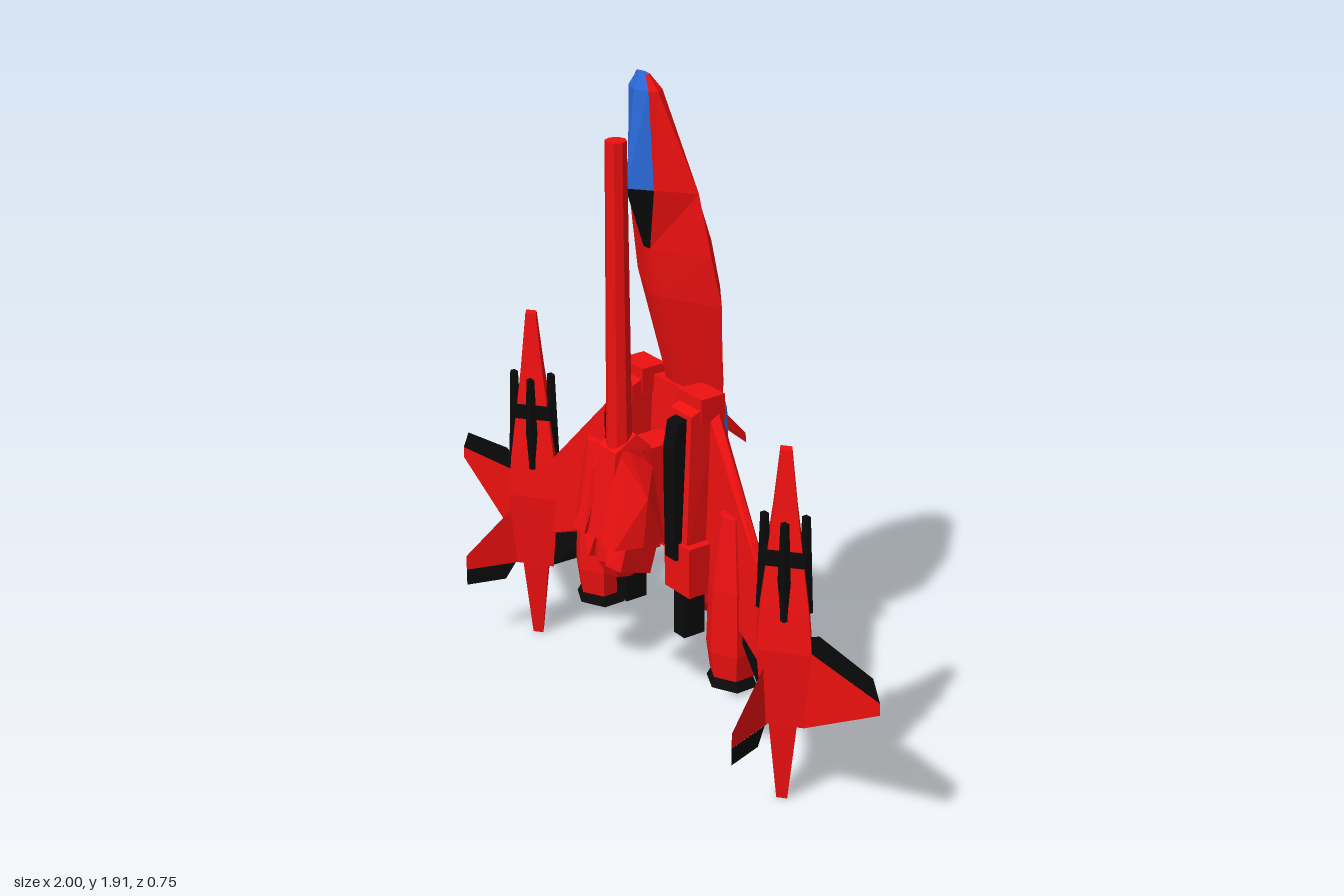
import * as THREE from 'three';
import { ConvexGeometry } from 'three/addons/geometries/ConvexGeometry.js';

const mat = (color) => new THREE.MeshStandardMaterial({ color, flatShading: true, side: THREE.DoubleSide });
const V = (x, y, z) => new THREE.Vector3(x, y, z);

export function createModel() {
  const red = mat(0xee1010), black = mat(0x0a0a0a), blue = mat(0x2a6ad8);
  const model = new THREE.Group();

  const add = (parent, name, geo, m, x = 0, y = 0, z = 0) => {
    const mesh = new THREE.Mesh(geo, m);
    mesh.name = name;
    mesh.position.set(x, y, z);
    parent.add(mesh);
    return mesh;
  };
  // Solid wrapped around a few corners
  const hull = (parent, name, m, pts) => add(parent, name, new ConvexGeometry(pts.map((p) => V(...p))), m);
  // Surface between matching rows of points
  const strip = (parent, name, m, rows) => {
    const pos = [];
    for (let i = 0; i + 1 < rows.length; i++)
      for (let j = 0; j + 1 < rows[i].length; j++) {
        const a = rows[i][j], b = rows[i][j + 1], c = rows[i + 1][j], d = rows[i + 1][j + 1];
        pos.push(...a, ...c, ...b, ...b, ...c, ...d);
      }
    const g = new THREE.BufferGeometry();
    g.setAttribute('position', new THREE.Float32BufferAttribute(pos, 3));
    g.computeVertexNormals();
    return add(parent, name, g, m);
  };
  // Faceted turned part from [radius, y] pairs, bottom to top
  const turned = (parent, name, m, profile, sides, x, z, flat = 1) => {
    const pts = profile.map((p) => new THREE.Vector2(...p));
    const mesh = add(parent, name, new THREE.LatheGeometry(pts, sides), m, x, 0, z);
    mesh.scale.z = flat;
    return mesh;
  };
  // Box spanning two corners
  const box = (parent, name, m, a, b) =>
    add(parent, name, new THREE.BoxGeometry(...a.map((v, i) => Math.abs(b[i] - v))), m, ...a.map((v, i) => (v + b[i]) / 2));

  // Fuselage stations: y, front ridge z, front half width and z, side half width and z, back half width and z, back ridge z
  const stations = [
    [1.91, .19, .02, .187, .03, .18, .02, .173, .17],
    [1.87, .21, .045, .195, .06, .175, .045, .15, .14],
    [1.6, .24, .06, .19, .152, .11, .06, .06, .025],
    [1.42, .175, .015, .172, .182, .09, .06, .0, -.03],
    [1.28, .155, .03, .15, .195, .065, .06, -.03, -.06],
    [1.0, .08, .05, .075, .14, .02, .05, -.05, -.06],
    [.8, .03, .05, .03, .09, -.01, .05, -.05, -.065],
    [.5, .04, .04, .035, .07, -.02, .04, -.06, -.085],
    [.31, .045, .035, .04, .06, -.04, .035, -.09, -.1],
    [.22, -.08, .02, -.085, .03, -.1, .02, -.115, -.118],
  ];
  const fuselage = new THREE.Group();
  fuselage.name = 'fuselage';
  model.add(fuselage);
  const front = stations.map(([y, zf, a, za]) => [[-a, y, za], [0, y, zf], [a, y, za]]);
  const back = stations.map(([y, , , , , , b, zb, zc]) => [[b, y, zb], [0, y, zc], [-b, y, zb]]);
  strip(fuselage, 'lowerCanopy', blue, front.slice(0, 3));
  strip(fuselage, 'lowerCanopyFairing', black, front.slice(2, 4));
  strip(fuselage, 'belly', red, front.slice(3));
  strip(fuselage, 'upperCanopy', blue, back.slice(0, 4));
  strip(fuselage, 'spinePanel', black, back.slice(3, 6));
  strip(fuselage, 'spine', red, back.slice(5));
  for (const s of [1, -1])
    strip(fuselage, 'fuselageSide', red, stations.map(([y, , a, za, w, zm, b, zb]) => {
      const row = [[a, y, za], [w, y, zm], [b, y, zb]].map((p) => [s * p[0], p[1], p[2]]);
      return s > 0 ? row : row.reverse();
    }));
  for (const [i, name] of [[0, 'noseCap'], [9, 'tailCap']]) {
    const [y, zf, a, za, w, zm, b, zb, zc] = stations[i];
    hull(fuselage, name, i ? red : blue, [[0, y, zf], [a, y, za], [-a, y, za], [w, y, zm], [-w, y, zm],
      [b, y, zb], [-b, y, zb], [0, y, zc], [0, y - .002, zm]]);
  }

  // Rear window and small dorsal blade
  hull(model, 'rearWindow', blue, [[0, 1.0, -.06], [.035, .9, -.075], [-.035, .9, -.075], [.035, .8, -.08], [-.035, .8, -.08],
    [0, .77, -.07], [.04, .86, -.04], [-.04, .86, -.04], [0, .85, -.092]]);
  hull(model, 'dorsalBlade', red, [[.006, .88, -.08], [-.006, .88, -.08], [.006, .83, -.08], [-.006, .83, -.08],
    [.004, .785, -.165], [-.004, .785, -.165], [.004, .755, -.168], [-.004, .755, -.168]]);

  // Swept tail fin with dark edges
  const plate = (name, m, t, outline) =>
    hull(model, name, m, outline.flatMap(([y, z]) => [[t, y, z], [-t, y, z]]));
  plate('tailFinRoot', red, .012, [[.62, -.07], [.38, -.18], [.3, -.13], [.3, -.05]]);
  plate('tailFinTip', red, .008, [[.38, -.18], [.26, -.365], [.21, -.36], [.32, -.13]]);
  plate('tailFinLeadingEdge', black, .009, [[.66, -.08], [.6, -.08], [.4, -.21], [.375, -.18]]);
  plate('tailFinTipEdge', black, .009, [[.4, -.21], [.375, -.18], [.275, -.37], [.255, -.365]]);
  plate('tailFinTrailingEdge', black, .009, [[.335, -.12], [.31, -.13], [.2, -.36], [.215, -.36]]);

  // Centre section between the engine boxes
  hull(model, 'centreSection', red, [1, -1].flatMap((s) => [[s * .15, 1.0, .03], [s * .15, 1.0, .09], [s * .12, .5, .03], [s * .12, .5, .11], [s * .09, .5, -.03]]));

  // Belly cannon
  turned(model, 'cannonBarrel', red, [[0, .8], [.037, .8], [.03, 1.74], [0, 1.74]], 8, 0, .27);
  hull(model, 'cannonBody', red, [1, -1].flatMap((s) => [[s * .04, .9, .24], [s * .04, .86, .31], [s * .06, .6, .35],
    [s * .06, .6, .2], [s * .05, .86, .2]]));
  turned(model, 'cannonBreech', red, [[0, .47], [.05, .48], [.075, .53], [.07, .62], [0, .62]], 8, 0, .27);
  for (const s of [1, -1]) {
    hull(model, 'cannonShroud', red, [[s * .03, .88, .27], [s * .05, .85, .3], [s * .12, .74, .26], [s * .125, .6, .28],
      [s * .1, .6, .36], [s * .04, .6, .365], [s * .05, .78, .33], [s * .11, .6, .2], [s * .06, .8, .2]]);
    hull(model, 'cannonGrip', red, [[s * .03, .6, .33], [s * .11, .6, .33], [s * .04, .53, .35], [s * .1, .53, .34],
      [s * .04, .5, .24], [s * .1, .5, .24], [s * .1, .6, .21], [s * .03, .6, .21]]);
  }
  box(model, 'cannonMount', red, [-.05, .55, .08], [.05, .85, .23]);

  for (const s of [1, -1]) {
    const side = new THREE.Group();
    side.name = s > 0 ? 'leftSide' : 'rightSide';
    model.add(side);
    const h = (name, m, pts) => hull(side, name, m, pts.map(([x, y, z]) => [s * x, y, z]));
    const b = (name, m, p, q) => box(side, name, m, [s * p[0], p[1], p[2]], [s * q[0], q[1], q[2]]);

    // Engine box with dark inset and leg
    h('engineBox', red, [[.09, 1.02, .06], [.19, 1.02, .06], [.09, .98, .16], [.185, .98, .16], [.1, .58, .18], [.19, .58, .18],
      [.1, .48, .15], [.19, .48, .15], [.1, .5, .03], [.19, .5, .03]]);
    b('engineBoxRim', red, [.085, .95, .05], [.19, 1.025, .13]);
    b('lowerHousing', red, [.1, .45, .06], [.215, .6, .19]);
    h('darkInset', black, [[.115, .98, .1], [.165, .98, .1], [.115, .96, .19], [.165, .96, .19], [.115, .88, .205], [.165, .88, .205],
      [.115, .55, .2], [.165, .55, .2], [.115, .55, .1], [.165, .55, .1]]);
    b('leg', black, [.115, .3, .1], [.165, .5, .17]);

    // Inner wing and dark trailing flap
    h('wing', red, [[.12, 1.0, .03], [.15, 1.0, .09], [.19, .97, .07], [.12, .52, .03], [.14, .52, .11], [.5, .61, .135], [.5, .61, .16],
      [.52, .36, .135], [.52, .36, .17], [.3, .44, .06], [.3, .44, .12]]);
    h('wingFlap', black, [[.24, .5, .07], [.24, .5, .11], [.54, .4, .145], [.54, .4, .165], [.52, .25, .15], [.52, .25, .16],
      [.4, .32, .115], [.4, .32, .125]]);

    // Underwing booster with nozzle
    turned(side, 'booster', red, [[0, .25], [.07, .25], [.082, .33], [.075, .52], [.04, .73], [0, .73]], 6, s * .32, .12, .9);
    turned(side, 'boosterNozzle', black, [[.05, .25], [.082, .22], [.06, .26], [0, .265]], 6, s * .32, .12, .85);
    turned(side, 'nozzleGlow', blue, [[0, .235], [.058, .235]], 6, s * .32, .12, .85);

    // Wingtip pod
    turned(side, 'tipPod', red, [[0, .25], [.09, .25], [.12, .48], [.105, .6], [.052, .87], [.025, 1.04], [0, 1.04]], 4, s * .6, .16, .78);
    turned(side, 'tipPodTail', red, [[0, 0], [.024, 0], [.062, .25], [0, .25]], 4, s * .6, .16, .8);
    turned(side, 'tipPodCollar', black, [[.08, .725], [.092, .725], [.09, .765], [.07, .765]], 4, s * .6, .16, .85);
    for (const dx of [-1, 1])
      for (const dz of [-1, 1])
        h('tipPodProng', black, [[.57, .022], [.85, .012]].flatMap(([y, w]) => [-1, 1].flatMap((i) => [-1, 1].map((j) =>
          [.6 + dx * .043 + i * w * .8, y, .16 + dz * .036 + j * w * .6]))));

    // Thin outboard winglet and canted forward fin
    const P = (pts) => pts.map((r) => r.map(([x, y, z]) => [s * x, y, z]));
    strip(side, 'winglet', red, P([[[.62, .5, .16], [1.0, .465, .16]], [[.62, .25, .16], [1.0, .43, .16]], [[.62, .25, .16], [.69, .25, .16]]]));
    strip(side, 'wingletEdge', black, P([[[.7, .53, .16], [.75, .553, .16], [.97, .525, .16]], [[.7, .485, .16], [.72, .487, .16], [1.0, .465, .16]]]));
    strip(side, 'forwardFin', red, P([[[.6, .46, .2], [.655, .29, .375]], [[.6, .245, .2], [.655, .245, .375]]]));
    strip(side, 'forwardFinEdge', black, P([[[.61, .245, .23], [.655, .245, .375]], [[.62, .195, .26], [.655, .195, .375]]]));
  }
  return model;
}
